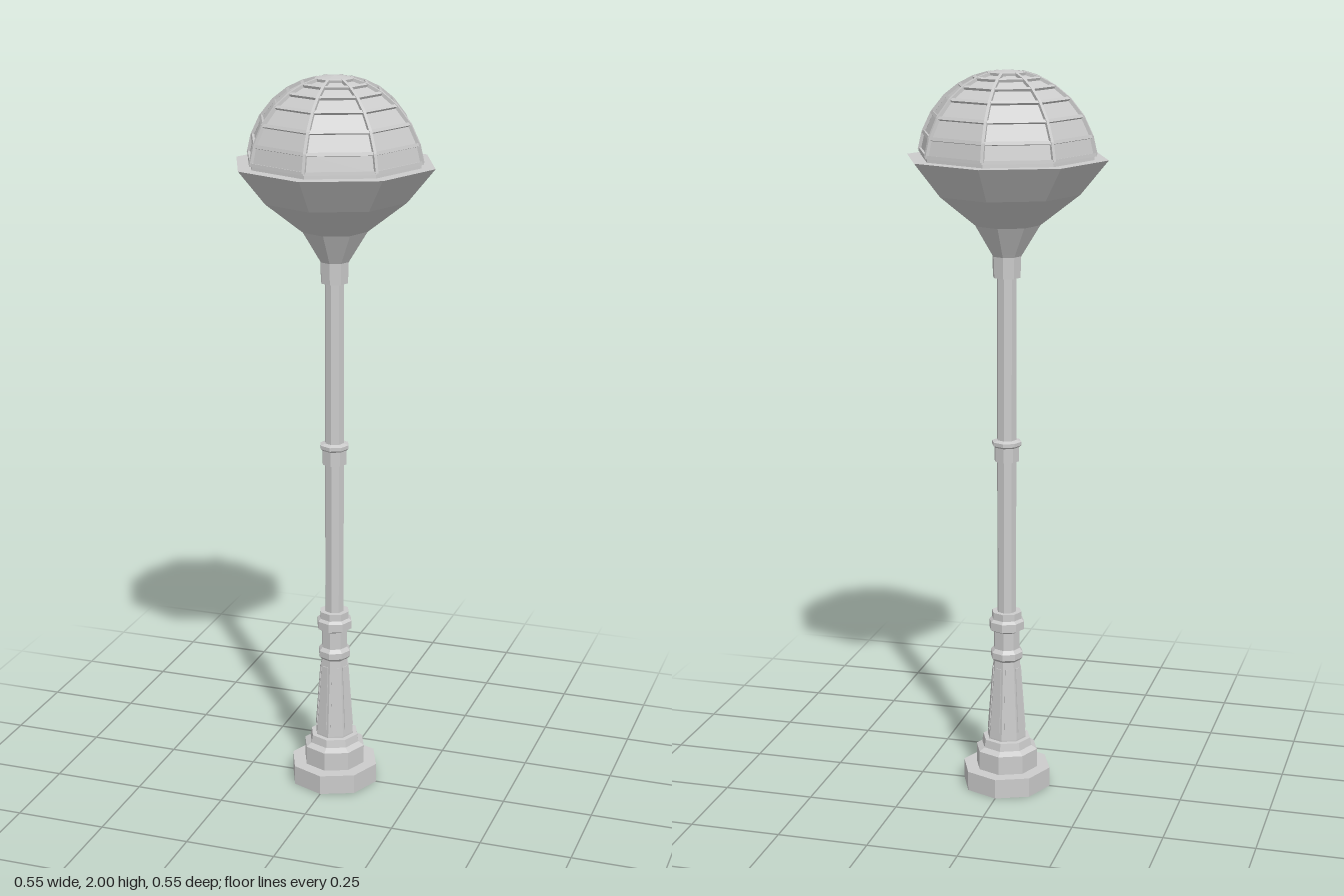
import * as THREE from 'three';

const metal = new THREE.MeshStandardMaterial({ color: 0xcccccc, flatShading: true });

const SIDES = 8;
const DOME_Y = 1.755; // centre height of the dome sphere
const DOME_R = 0.245;
// Ring radii of the dome cage, bottom to top
const RINGS = [0.243, 0.232, 0.207, 0.17, 0.13, 0.09, 0.05];
const ANGLES = RINGS.map((r) => Math.acos(r / DOME_R));

function mesh(name, geometry) {
  const m = new THREE.Mesh(geometry, metal);
  m.name = name;
  return m;
}

// Eight-sided turned part from [radius, height] pairs
function turned(name, points) {
  return mesh(name, new THREE.LatheGeometry(points.map(([r, y]) => new THREE.Vector2(r, y)), SIDES));
}

const onDome = (angle, radius) => [radius * Math.cos(angle), DOME_Y + radius * Math.sin(angle)];

function createCage() {
  const cage = new THREE.Group();
  cage.name = 'domeCage';

  // Horizontal bars
  ANGLES.forEach((a) => {
    const d = 0.0045 / DOME_R;
    const inner = DOME_R - 0.008;
    cage.add(turned('cageRing', [
      onDome(a - d, inner), onDome(a - d, DOME_R), onDome(a + d, DOME_R),
      onDome(a + d, inner), onDome(a - d, inner),
    ]));
  });

  // Curved ribs along the dome corners
  const outline = [
    ...ANGLES.map((a) => onDome(a, DOME_R + 0.001)),
    ...ANGLES.map((a) => onDome(a, DOME_R - 0.008)).reverse(),
  ].map(([x, y]) => new THREE.Vector2(x, y));
  const ribGeometry = new THREE.ExtrudeGeometry(new THREE.Shape(outline), { depth: 0.008, bevelEnabled: false });
  ribGeometry.translate(0, 0, -0.004);
  for (let i = 0; i < SIDES; i++) {
    const rib = mesh('cageRib', ribGeometry);
    rib.rotation.y = (i * Math.PI * 2) / SIDES;
    cage.add(rib);
  }

  // Cap closing the top of the cage
  cage.add(turned('cageCap', [[0, 1.985], [0.048, 1.985], [0.048, 1.995], [0, 2]]));
  return cage;
}

function createPedestalPanels() {
  const panels = new THREE.Group();
  panels.name = 'pedestalPanels';
  const shape = new THREE.Shape([
    new THREE.Vector2(-0.014, 0.02), new THREE.Vector2(0.014, 0.02),
    new THREE.Vector2(0.009, 0.205), new THREE.Vector2(-0.009, 0.205),
  ]);
  const geometry = new THREE.ExtrudeGeometry(shape, { depth: 0.004, bevelEnabled: false });
  geometry.translate(0, 0, -0.0015);
  geometry.rotateX(-0.07); // lean with the tapered pedestal
  geometry.translate(0, 0.145, 0.055 * Math.cos(Math.PI / SIDES));
  for (let i = 0; i < SIDES; i++) {
    const panel = mesh('pedestalPanel', geometry);
    panel.rotation.y = ((i + 0.5) * Math.PI * 2) / SIDES;
    panels.add(panel);
  }
  return panels;
}

export function createModel() {
  const lamp = new THREE.Group();
  lamp.name = 'streetLamp';

  // Stepped foot, hollow underneath
  lamp.add(turned('foot', [
    [0, 0.05], [0.088, 0.05], [0.088, 0], [0.125, 0], [0.125, 0.055],
    [0.088, 0.055], [0.088, 0.108], [0.072, 0.118], [0.068, 0.14], [0, 0.145],
  ]));

  // Tapered pedestal with its mouldings
  lamp.add(turned('pedestal', [
    [0.055, 0.14], [0.055, 0.145], [0.038, 0.37], [0.046, 0.378], [0.046, 0.395],
    [0.037, 0.405], [0.037, 0.455], [0.05, 0.462], [0.05, 0.485],
    [0.042, 0.492], [0.042, 0.512], [0, 0.512],
  ]));
  lamp.add(createPedestalPanels());

  // Post and its middle collar
  lamp.add(turned('post', [[0.027, 0.5], [0.027, 1.47]]));
  lamp.add(turned('postCollar', [
    [0.026, 0.945], [0.035, 0.945], [0.035, 0.985], [0.041, 0.99], [0.041, 1.0], [0.026, 1.005],
  ]));
  lamp.add(turned('neckCollar', [
    [0.026, 1.452], [0.038, 1.452], [0.04, 1.51], [0.046, 1.52], [0.03, 1.525],
  ]));

  // Faceted bowl with a flat rim
  lamp.add(turned('bowl', [
    [0.045, 1.518], [0.092, 1.595], [0.2, 1.68], [0.275, 1.772], [0.23, 1.772],
  ]));

  // Globe inside the cage
  lamp.add(turned('globe', [
    [0.238, 1.765], ...ANGLES.map((a) => onDome(a, DOME_R - 0.007)), [0, DOME_Y + DOME_R - 0.008],
  ]));
  lamp.add(createCage());

  return lamp;
}
